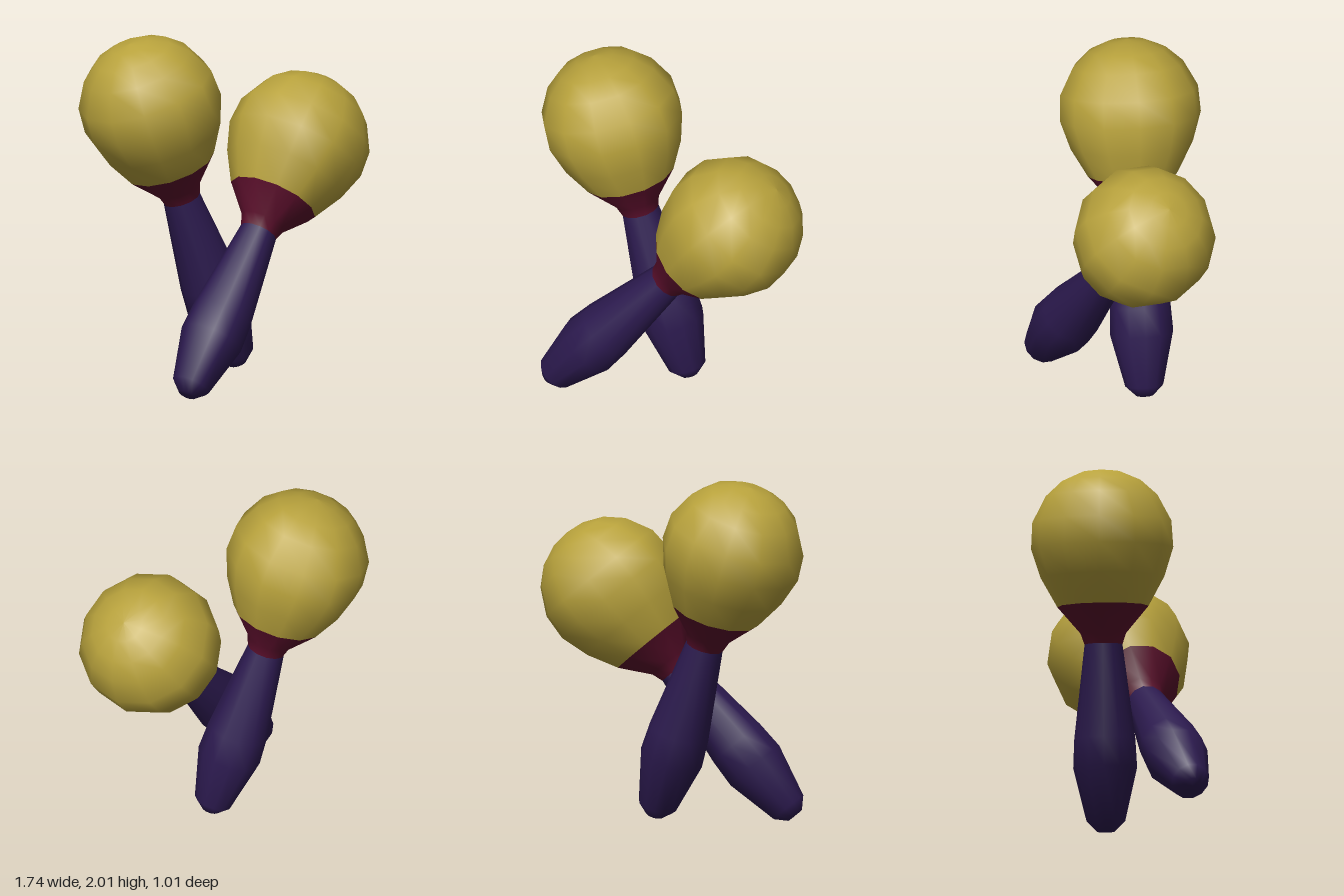
import * as THREE from 'three';

const SIDES = 12;

// Profiles as [radius, distance along the axis from the handle end]
const PARTS = {
  handle: {
    color: 0x2c1a4f,
    profile: [[0, 0], [0.05, 0], [0.11, 0.06], [0.182, 0.365], [0.174, 0.53], [0.108, 1.07]],
  },
  collar: {
    color: 0x5c0f2c,
    profile: [[0.108, 1.07], [0.13, 1.134], [0.26, 1.287]],
  },
  head: {
    color: 0xb8a23c,
    profile: [[0.26, 1.287], [0.352, 1.454], [0.405, 1.62], [0.396, 1.773],
      [0.318, 1.922], [0.223, 2.008], [0.11, 2.057], [0, 2.07]],
  },
};

// One shaker, standing on its handle end and leaned along the line from end to head
function createShaker(name, end, headCentre) {
  const shaker = new THREE.Group();
  shaker.name = name;
  for (const [part, { color, profile }] of Object.entries(PARTS)) {
    const points = profile.map(([r, t]) => new THREE.Vector2(r, t));
    const mesh = new THREE.Mesh(
      new THREE.LatheGeometry(points, SIDES),
      new THREE.MeshStandardMaterial({ color }),
    );
    mesh.name = part;
    shaker.add(mesh);
  }
  const axis = headCentre.clone().sub(end).normalize();
  shaker.position.copy(end);
  shaker.quaternion.setFromUnitVectors(new THREE.Vector3(0, 1, 0), axis);
  return shaker;
}

export function createModel() {
  const model = new THREE.Group();
  model.name = 'crossedMaracas';
  model.add(
    createShaker('backMaraca', new THREE.Vector3(0.1, 0.037, -0.1), new THREE.Vector3(-0.463, 1.599, -0.1)),
    createShaker('frontMaraca', new THREE.Vector3(-0.51, 0.03, 0.42), new THREE.Vector3(0.455, 1.3, -0.04)),
  );
  return model;
}
